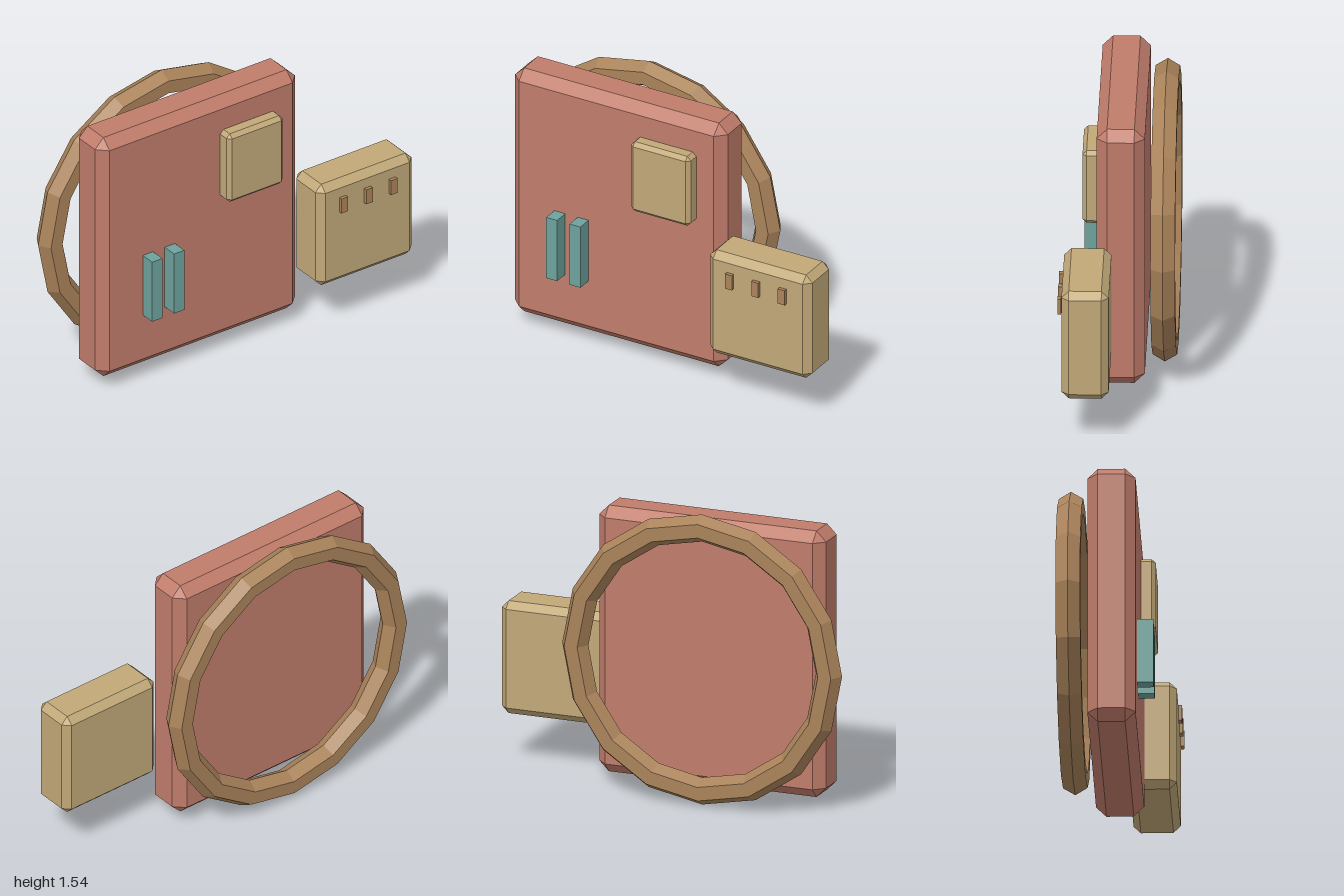
import * as THREE from 'three';
import { ConvexGeometry } from 'three/addons/geometries/ConvexGeometry.js';

const mat = (name, color) => {
  const m = new THREE.MeshStandardMaterial({ color });
  m.name = name;
  m.flatShading = true;
  return m;
};

// Box with every edge cut at 45 degrees and triangular corners
function chamferBox(w, h, d, c) {
  const half = [w / 2, h / 2, d / 2];
  const points = [];
  for (const sx of [-1, 1]) for (const sy of [-1, 1]) for (const sz of [-1, 1]) {
    for (let axis = 0; axis < 3; axis++) {
      const p = half.map((v, i) => (i === axis ? v : v - c));
      points.push(new THREE.Vector3(p[0] * sx, p[1] * sy, p[2] * sz));
    }
  }
  return new ConvexGeometry(points);
}

export function createModel() {
  const group = new THREE.Group();
  const red = mat('clay red', 0xc07c6b);
  const tan = mat('tan', 0xc1a878);
  const teal = mat('teal', 0x6ea29d);
  const brown = mat('brown', 0xaa835a);

  // Places a box, chamfered or plain, by its extents
  const addBox = (name, material, [x0, x1], [y0, y1], [z0, z1], chamfer = 0) => {
    const size = [x1 - x0, y1 - y0, z1 - z0];
    const geometry = chamfer ? chamferBox(...size, chamfer) : new THREE.BoxGeometry(...size);
    const mesh = new THREE.Mesh(geometry, material);
    mesh.name = name;
    mesh.position.set((x0 + x1) / 2, (y0 + y1) / 2, (z0 + z1) / 2);
    group.add(mesh);
  };

  // Main slab and its two blocks
  addBox('mainPanel', red, [-0.85, 0.4], [0.07, 1.485], [-0.135, 0.11], 0.053);
  addBox('raisedBlock', tan, [-0.105, 0.245], [0.905, 1.308], [0.03, 0.185], 0.021);
  addBox('sideBox', tan, [0.4, 1], [0.262, 0.86], [0.032, 0.272], 0.037);

  // Pair of upright bars on the panel front
  for (const x of [-0.557, -0.42]) {
    addBox('uprightBar', teal, [x - 0.032, x + 0.032], [0.385, 0.738], [0.1, 0.192]);
  }

  // Row of small buttons just in front of the side box
  for (const x of [0.541, 0.696, 0.851]) {
    addBox('button', brown, [x - 0.02, x + 0.02], [0.686, 0.771], [0.276, 0.295]);
  }

  // Faceted ring behind the panel
  const ring = new THREE.Mesh(new THREE.TorusGeometry(0.699, 0.072, 6, 16), brown);
  ring.name = 'backRing';
  ring.position.set(-0.229, 0.775, -0.229);
  group.add(ring);

  return group;
}
